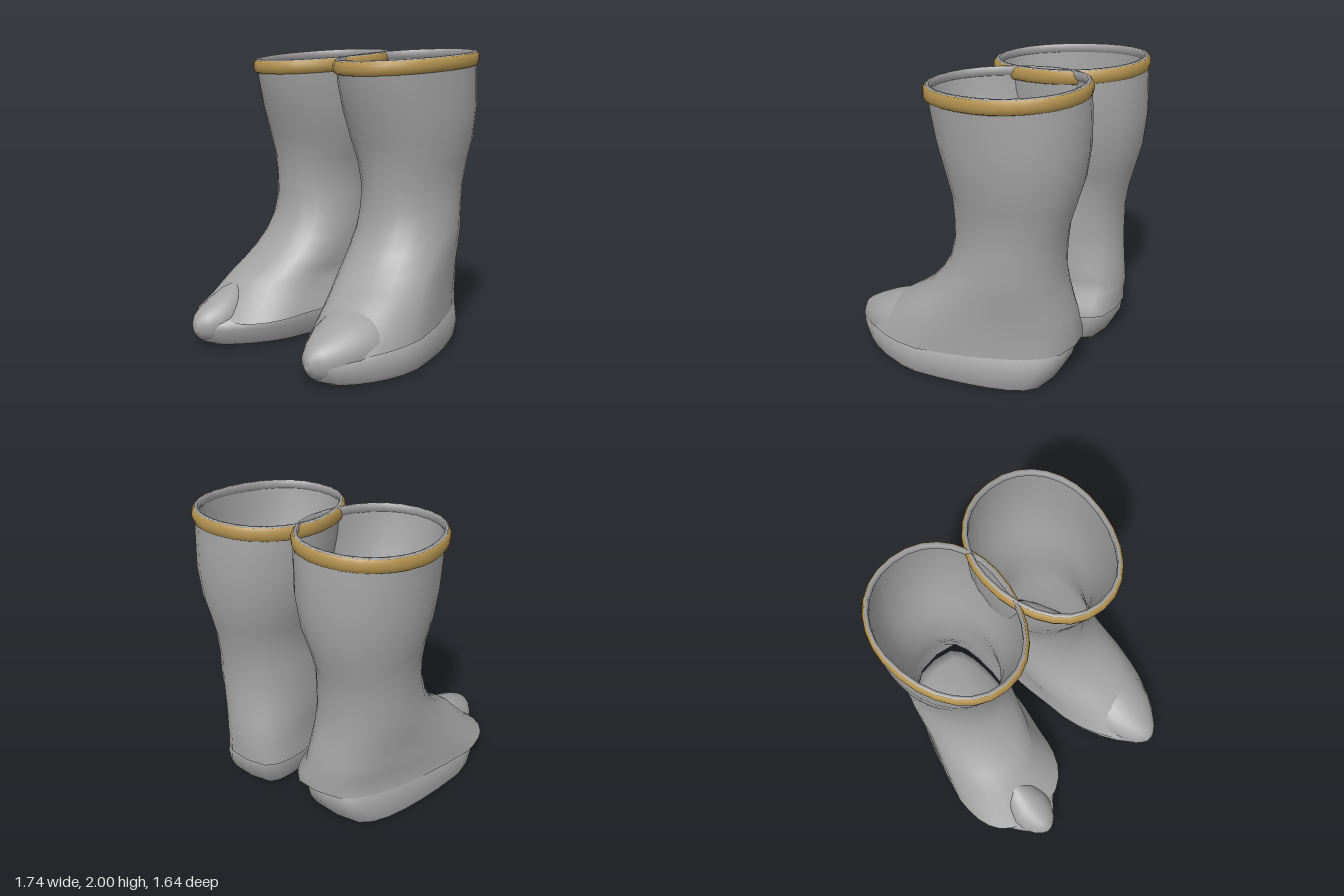
import * as THREE from 'three';

const grey = new THREE.MeshStandardMaterial({ color: 0xa2a2a3, side: THREE.DoubleSide });
grey.name = 'grey rubber';
const gold = new THREE.MeshStandardMaterial({ color: 0xb3924f });
gold.name = 'gold trim';

const SIDES = 28;

// Slices: y, inner x, outer x, back z, front z, widest z, toe x shift, heel x shift, toe taper
const SHAFT = [
  [0.40, 0.11, 0.81, -0.765, 0.45, 0.00, 0.03, -0.14, 0.05],
  [0.48, 0.09, 0.79, -0.755, 0.33, -0.06, 0.02, -0.11, 0],
  [0.57, 0.075, 0.77, -0.735, 0.22, -0.13, 0.01, -0.07, 0],
  [0.68, 0.07, 0.75, -0.715, 0.13, -0.22, 0, -0.03, 0],
  [0.80, 0.07, 0.735, -0.70, 0.065, -0.30, 0, 0, 0],
  [0.95, 0.08, 0.72, -0.70, 0.035, -0.35, 0, 0, 0],
  [1.10, 0.09, 0.72, -0.72, 0.04, -0.36, 0, 0, 0],
  [1.25, 0.055, 0.74, -0.76, 0.05, -0.36, 0, 0, 0],
  [1.40, 0.005, 0.775, -0.80, 0.09, -0.36, 0, 0, 0],
  [1.60, -0.03, 0.795, -0.82, 0.16, -0.36, 0, 0, 0],
  [1.80, -0.04, 0.795, -0.81, 0.215, -0.35, 0, 0, 0],
  [1.955, -0.04, 0.80, -0.79, 0.235, -0.34, 0, 0, 0],
];

const FEET = {
  left: {
    side: 1,
    foot: [
      [0.225, 0.12, 0.85, -0.77, 0.76, 0.12, 0.04, -0.18, 0.22],
      [0.31, 0.12, 0.835, -0.77, 0.62, 0.08, 0.04, -0.17, 0.1],
    ],
    sole: [
      [0, 0.19, 0.83, -0.65, 0.70, 0.14, 0.03, -0.13, 0.22],
      [0.03, 0.17, 0.85, -0.67, 0.76, 0.14, 0.03, -0.14, 0.24],
      [0.12, 0.15, 0.865, -0.72, 0.80, 0.14, 0.03, -0.15, 0.26],
      [0.225, 0.14, 0.84, -0.75, 0.77, 0.12, 0.03, -0.16, 0.24],
    ],
    // z, half width, bottom y, top y
    toe: [[0.822, 0.02, 0.11, 0.165], [0.805, 0.055, 0.075, 0.21], [0.77, 0.10, 0.04, 0.24],
      [0.70, 0.15, 0.02, 0.285], [0.58, 0.215, 0.01, 0.345], [0.45, 0.25, 0, 0.40], [0.37, 0.24, 0.02, 0.41]],
    toeX: 0.53,
  },
  right: {
    side: -1,
    foot: [
      [0.225, 0.07, 0.875, -0.77, 0.68, 0.22, 0.03, -0.20, -0.2],
      [0.31, 0.085, 0.845, -0.77, 0.58, 0.12, 0.03, -0.19, -0.1],
    ],
    sole: [
      [0, 0.17, 0.83, -0.65, 0.70, 0.14, 0.03, -0.14, 0.3],
      [0.03, 0.14, 0.85, -0.67, 0.76, 0.16, 0.03, -0.15, 0.36],
      [0.12, 0.12, 0.86, -0.72, 0.80, 0.18, 0.03, -0.16, 0.4],
      [0.225, 0.11, 0.85, -0.75, 0.77, 0.18, 0.03, -0.17, 0.4],
    ],
    toe: [[0.822, 0.02, 0.11, 0.165], [0.805, 0.055, 0.075, 0.21], [0.77, 0.095, 0.04, 0.24],
      [0.70, 0.135, 0.02, 0.28], [0.62, 0.155, 0.01, 0.32], [0.52, 0.14, 0.02, 0.37], [0.45, 0.10, 0.06, 0.385]],
    toeX: 0.52,
  },
};

// Egg-shaped loop around one slice, squarer at the heel; the top rim and the sole seam slope
function section([y, x0, x1, zb, zf, zm, sf, sb, taper], grow = 0) {
  const cx = (x0 + x1) / 2, w = (x1 - x0) / 2 + grow;
  const tilt = y > 1 ? 0.078 * ((y - 1) / 0.955) ** 2 : y > 0.2 && y < 0.35 ? 0.06 : 0;
  const heelPower = 0.92 - 0.42 * Math.max(0, 1 - y / 0.85);
  return Array.from({ length: SIDES }, (_, j) => {
    const a = (j / SIDES) * Math.PI * 2, t = Math.cos(a), s = Math.sin(a);
    const z = zm + t * (t > 0 ? zf + grow - zm : zm - zb + grow);
    const power = t < 0 ? heelPower : 0.92;
    const spread = Math.sign(s) * Math.abs(s) ** power * (1 - taper * Math.max(t, 0) ** 2);
    const x = cx + w * spread + (t > 0 ? sf * t : -sb * t);
    return [x, y - tilt * (z + 0.28), z];
  });
}

const centre = (loop) => [0, 1, 2].map((c) => loop.reduce((sum, p) => sum + p[c], 0) / SIDES);

// Joins loops into a skin, optionally closing the first loop; side -1 mirrors it
function loft(rows, side, closeStart = false) {
  const pos = [], idx = [];
  const tri = (a, b, c) => (side > 0 ? idx.push(a, b, c) : idx.push(a, c, b));
  const add = ([x, y, z]) => pos.push(x * side, y, z);
  rows.forEach((r) => r.forEach(add));
  for (let i = 0; i < rows.length - 1; i++) {
    for (let j = 0; j < SIDES; j++) {
      const k = (j + 1) % SIDES, a = i * SIDES, b = a + SIDES;
      tri(a + j, a + k, b + k);
      tri(a + j, b + k, b + j);
    }
  }
  if (closeStart) {
    const base = pos.length / 3;
    rows[0].forEach(add);
    add(centre(rows[0]));
    for (let j = 0; j < SIDES; j++) tri(base + SIDES, base + ((j + 1) % SIDES), base + j);
  }
  const g = new THREE.BufferGeometry();
  g.setAttribute('position', new THREE.Float32BufferAttribute(pos, 3));
  g.setIndex(idx);
  g.computeVertexNormals();
  return g;
}

function part(name, geometry, material) {
  const m = new THREE.Mesh(geometry, material);
  m.name = name;
  return m;
}

function makeBoot(name, { side, foot, sole, toe, toeX }) {
  const boot = new THREE.Group();
  boot.name = name;

  // Thin-walled upper, open at both ends
  boot.add(part('upper', loft([...foot, ...SHAFT].map((s) => section(s)), side), grey));

  // Sole, closed by a domed insole inside the upper
  const soleRows = sole.map((s) => section(s));
  const edge = soleRows[soleRows.length - 1], mid = centre(edge);
  const dome = [0.9, 0.75, 0.55, 0.3, 0.01].map((r) => edge.map(([x, y, z]) => [
    mid[0] + (x - mid[0]) * r,
    mid[1] + (y - mid[1]) * r + 0.15 * (1 - r * r),
    mid[2] + (z - mid[2]) * r,
  ]));
  boot.add(part('sole', loft([...soleRows, ...dome], side, true), grey));

  // Toe cap, oval slices running back from the tip
  const toeRows = toe.map(([z, w, lo, hi]) => Array.from({ length: SIDES }, (_, j) => {
    const a = (-j / SIDES) * Math.PI * 2;
    return [toeX + w * Math.cos(a), (lo + hi) / 2 + ((hi - lo) / 2) * Math.sin(a), z];
  }));
  boot.add(part('toeCap', loft(toeRows, side, true), grey));

  // Rings around the top, from pairs of height offset and outward offset
  const top = SHAFT[SHAFT.length - 1];
  const ring = (profile) => loft(profile.map(([dy, grow]) =>
    section(top, grow).map(([x, y, z]) => [x, y + dy, z])), side);
  boot.add(part('rimLip', ring([[-0.012, 0.004], [0.002, 0], [0.002, -0.018], [-0.035, -0.02], [-0.06, -0.004]]), grey));
  boot.add(part('trimBand', ring([[-0.092, -0.003], [-0.084, 0.012], [-0.055, 0.02], [-0.025, 0.018], [-0.005, 0.008], [-0.005, 0]]), gold));
  return boot;
}

export function createModel() {
  const model = new THREE.Group();
  model.name = 'boots';
  model.add(makeBoot('leftBoot', FEET.left), makeBoot('rightBoot', FEET.right));
  return model;
}
